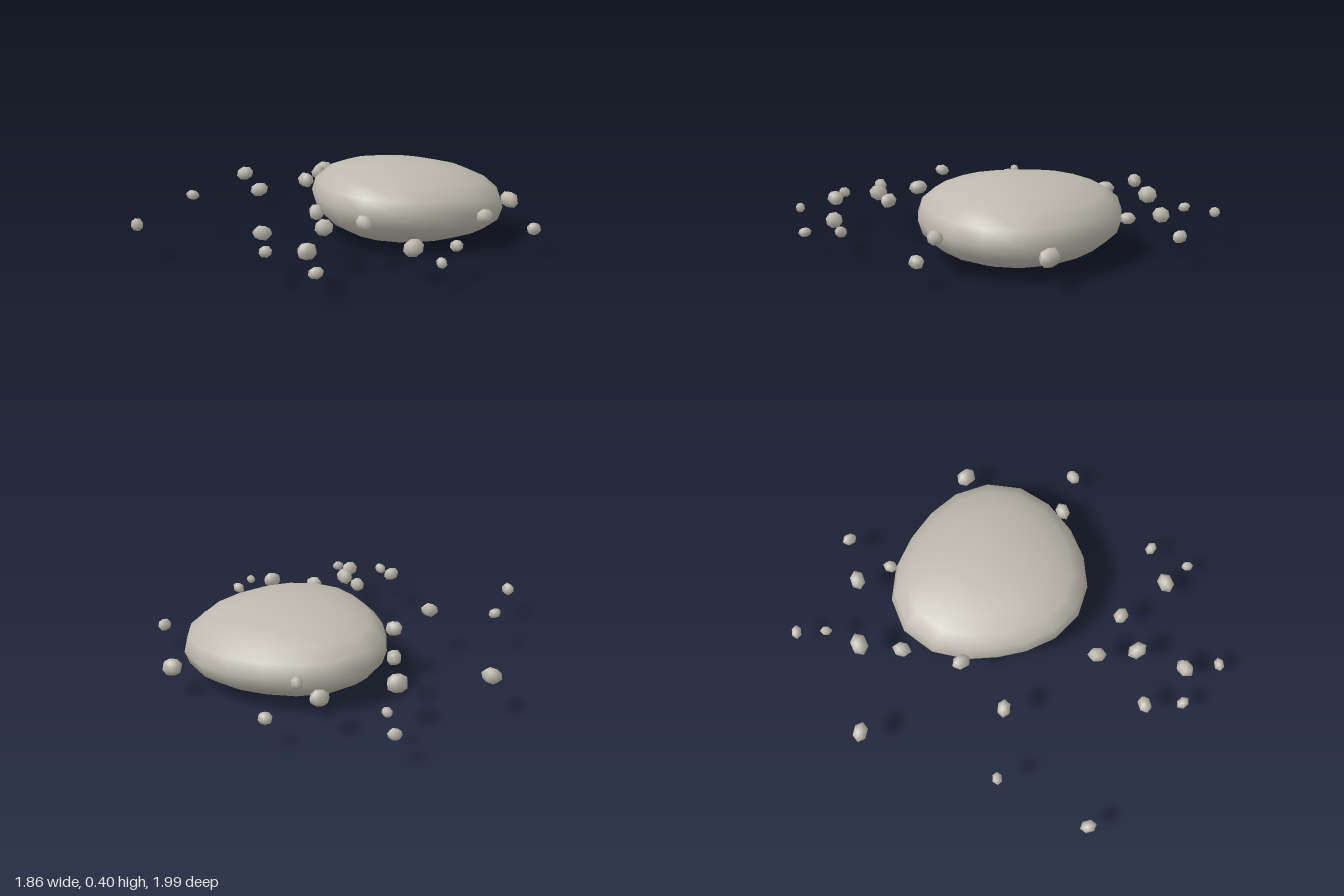
import * as THREE from 'three';
import { mergeVertices } from 'three/addons/utils/BufferGeometryUtils.js';

// Sphere without seams, its vertices moved by a rule, smooth normals
function shapedSphere(columns, rows, rule) {
  const g = new THREE.SphereGeometry(1, columns, rows);
  g.deleteAttribute('uv');
  g.deleteAttribute('normal');
  const p = g.attributes.position, v = new THREE.Vector3();
  for (let i = 0; i < p.count; i++) {
    rule(v.fromBufferAttribute(p, i));
    p.setXYZ(i, v.x, v.y, v.z);
  }
  const merged = mergeVertices(g, 1e-4);
  merged.computeVertexNormals();
  return merged;
}

// Boulder radius around the vertical axis: a circle with three soft corners
const boulderRadius = (a) => 0.493
  + 0.0285 * Math.cos(a + 1.22)
  + 0.0176 * Math.cos(2 * a - 0.61)
  + 0.0243 * Math.cos(3 * a + 1.98);

// Flattened boulder, slightly raised towards its front right
const soften = (t) => Math.sign(t) * Math.abs(t) ** 0.92;
function boulderRule(v) {
  const angle = Math.atan2(v.z, v.x);
  const reach = soften(Math.hypot(v.x, v.z));
  const r = boulderRadius(angle) * reach;
  const x = r * Math.cos(angle), z = r * Math.sin(angle);
  v.set(x, 0.2 * soften(v.y) + 0.035 * (z - x) * reach, z);
}

// Pebbles: x, y, z, half length, yaw in degrees
const pebbles = [
  [-0.11, 0.155, -0.965, 0.04, -20], [-0.67, 0.155, -0.855, 0.036, 40],
  [-0.58, 0.18, -0.73, 0.032, -45], [-0.275, 0.2, -0.77, 0.052, 55],
  [-0.115, 0.2, -0.68, 0.04, -65], [-0.545, 0.225, -0.535, 0.06, 60],
  [-0.445, 0.25, -0.34, 0.05, -65], [-0.89, 0.21, -0.25, 0.051, 20],
  [-0.325, 0.265, -0.06, 0.051, -20], [-0.39, 0.26, 0.25, 0.046, 30],
  [-0.68, 0.228, 0.425, 0.034, 40], [-0.6, 0.18, 0.905, 0.042, -40],
  [0.05, 0.205, 0.785, 0.046, 50], [0.18, 0.17, 0.93, 0.036, -15],
  [0.11, 0.245, 0.455, 0.049, -50], [0.255, 0.22, 0.6, 0.053, -25],
  [0.335, 0.175, 0.84, 0.052, 75], [0.47, 0.13, 0.965, 0.035, 45],
  [0.36, 0.22, 0.43, 0.048, 0], [0.665, 0.165, 0.505, 0.054, 60],
  [0.825, 0.13, 0.54, 0.032, -45], [0.785, 0.155, 0.335, 0.036, 0],
  [0.895, 0.13, -0.24, 0.042, 80], [0.675, 0.18, -0.155, 0.048, 60],
  [0.545, 0.15, -0.695, 0.058, -10],
];

export function createModel() {
  const model = new THREE.Group();
  const stone = new THREE.MeshStandardMaterial({ color: 0xbdb9ae });
  stone.name = 'stone';

  const boulder = new THREE.Mesh(shapedSphere(18, 10, boulderRule), stone);
  boulder.name = 'boulder';
  boulder.position.set(0.15, 0.2, -0.22);
  model.add(boulder);

  // Small angular pebbles scattered around, tipped alternately to either side
  const scatter = new THREE.Group();
  scatter.name = 'pebbles';
  const pebbleShape = shapedSphere(6, 4, (v) => v.multiply(new THREE.Vector3(1, 0.75, 0.77)));
  pebbles.forEach(([x, y, z, size, yaw], i) => {
    const pebble = new THREE.Mesh(pebbleShape, stone);
    pebble.name = `pebble${i + 1}`;
    pebble.position.set(x, y, z);
    pebble.scale.setScalar(size);
    const tilt = i % 2 ? 20 : -15;
    pebble.rotation.set(0, THREE.MathUtils.degToRad(yaw), THREE.MathUtils.degToRad(tilt), 'ZYX');
    scatter.add(pebble);
  });
  model.add(scatter);
  return model;
}
